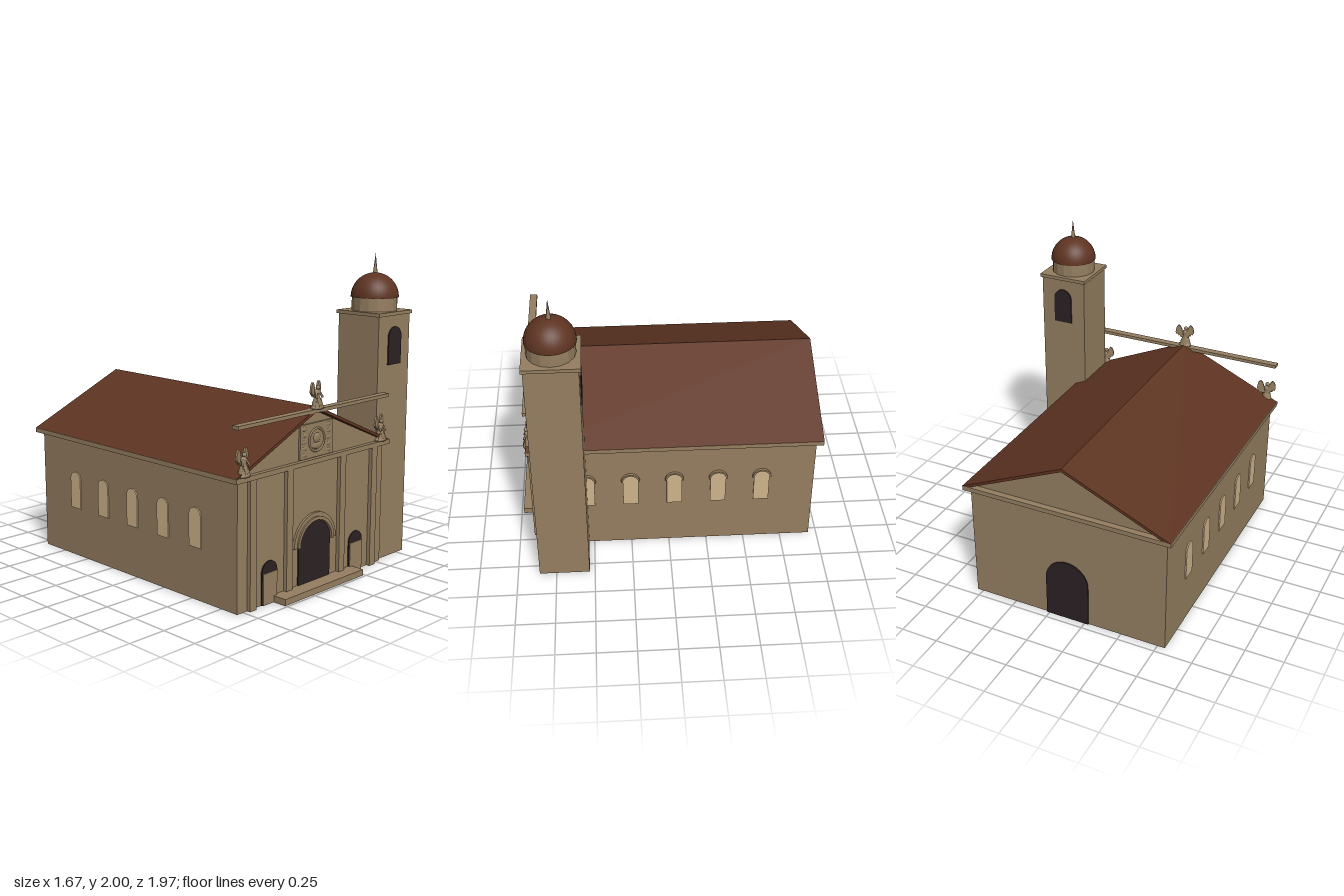
import * as THREE from 'three';

const mat = (name, color) => {
  const m = new THREE.MeshStandardMaterial({ color });
  m.name = name;
  return m;
};

export function createModel() {
  const stone = mat('stone', 0x957f61);
  const tile = mat('roofTile', 0x5e3422);
  const dark = mat('darkOpening', 0x2b2123);
  const glass = mat('paleGlass', 0xd0b48c);
  const model = new THREE.Group();
  const CX = -0.13; // axis of the nave

  const add = (name, geo, material, x = 0, y = 0, z = 0, parent = model) => {
    const m = new THREE.Mesh(geo, material);
    m.name = name;
    m.position.set(x, y, z);
    parent.add(m);
    return m;
  };
  // box given by its limits
  const block = (name, x0, x1, y0, y1, z0, z1, material = stone) =>
    add(name, new THREE.BoxGeometry(x1 - x0, y1 - y0, z1 - z0), material,
      (x0 + x1) / 2, (y0 + y1) / 2, (z0 + z1) / 2);
  const extrude = (shape, depth) =>
    new THREE.ExtrudeGeometry(shape, { depth, bevelEnabled: false, curveSegments: 14 });
  const polygon = (pts) => new THREE.Shape(pts.map(([x, y]) => new THREE.Vector2(x, y)));

  // round-headed panel standing on y = 0
  const archPanel = (r, height, depth = 0.008) => {
    const s = new THREE.Shape();
    s.moveTo(-r, 0);
    s.lineTo(r, 0);
    s.lineTo(r, height - r);
    s.absarc(0, height - r, r, 0, Math.PI, false);
    s.closePath();
    return extrude(s, depth);
  };
  // half ring moulding
  const archRing = (inner, outer, depth) => {
    const s = new THREE.Shape();
    s.absarc(0, 0, outer, 0, Math.PI, false);
    s.absarc(0, 0, inner, Math.PI, 0, true);
    s.closePath();
    return extrude(s, depth);
  };

  // nave walls, cornice, gable and roof
  block('naveWalls', -0.80, 0.54, 0, 0.79, -0.947, 0.88);
  block('cornice', -0.838, 0.575, 0.79, 0.82, -0.987, 0.91);
  add('gable', extrude(polygon([[-0.66, 0], [0.66, 0], [0, 0.288]]), 1.827), stone, CX, 0.82, -0.947);
  add('roof', extrude(polygon([
    [-0.705, 0], [-0.66, 0], [0, 0.294], [0.66, 0], [0.705, 0], [0, 0.315],
  ]), 1.893), tile, CX, 0.82, -0.988);
  block('ridgeBeam', -0.82, 0.56, 1.10, 1.122, 0.857, 0.907);

  // front pilasters
  for (const side of [-1, 1]) {
    for (const d of [0.245, 0.56]) {
      const x = CX + side * d;
      block('pilaster', x - 0.027, x + 0.027, 0, 0.79, 0.87, 0.905);
    }
  }

  // main doors front and back, with stepped arch over the front one
  block('entranceStep', -0.50, 0.235, 0, 0.04, 0.87, 0.985);
  add('frontDoor', archPanel(0.147, 0.425), dark, CX, 0, 0.88);
  add('doorArchInner', archRing(0.147, 0.168, 0.025), stone, CX, 0.282, 0.88);
  add('doorArchOuter', archRing(0.168, 0.194, 0.015), stone, CX, 0.282, 0.88);
  add('backDoor', archPanel(0.147, 0.43), dark, CX, 0, -0.947).rotation.y = Math.PI;

  // side doors: dark arch with a stone leaf below
  for (const side of [-1, 1]) {
    const x = CX + side * 0.403;
    add('sideDoorArch', archPanel(0.066, 0.265), dark, x, 0, 0.88);
    block('sideDoorLeaf', x - 0.060, x + 0.060, 0, 0.195, 0.88, 0.894);
  }

  // nave windows
  for (let i = 0; i < 5; i++) {
    const z = 0.535 - i * 0.285;
    add('rightWindow', archPanel(0.05, 0.245), glass, 0.54, 0.33, z).rotation.y = Math.PI / 2;
    add('windowHood', archRing(0.05, 0.061, 0.018), stone, 0.54, 0.525, z).rotation.y = Math.PI / 2;
    add('leftWindow', archPanel(0.05, 0.245), glass, -0.80, 0.33, z).rotation.y = -Math.PI / 2;
  }

  // carved panel in the gable
  const relief = new THREE.Group();
  relief.name = 'carvedPanel';
  relief.position.set(CX, 0.932, 0.885);
  model.add(relief);
  add('panelSlab', new THREE.BoxGeometry(0.30, 0.212, 0.016), stone, 0, 0, 0, relief);
  add('panelRing', new THREE.TorusGeometry(0.07, 0.008, 6, 28), stone, 0, 0, 0.007, relief);
  const boss = add('panelBoss', new THREE.SphereGeometry(0.032, 16, 10), stone, 0, 0.012, 0.006, relief);
  boss.scale.z = 0.35;
  const bust = add('panelBust', new THREE.SphereGeometry(0.042, 16, 10), stone, 0, -0.035, 0.006, relief);
  bust.scale.set(1, 0.5, 0.2);
  for (const sx of [-1, 1]) {
    for (let j = -2; j <= 2; j++) {
      const knob = add('panelCarving', new THREE.SphereGeometry(0.022, 10, 6), stone,
        sx * 0.112, j * 0.04, 0.006, relief);
      knob.scale.set(1.2, 0.6, 0.25);
    }
  }

  // winged statues
  const robe = new THREE.LatheGeometry([
    [0, 0], [0.045, 0], [0.045, 0.012], [0.034, 0.016], [0.036, 0.03], [0.024, 0.06],
    [0.017, 0.078], [0.024, 0.098], [0.02, 0.112], [0.008, 0.118], [0, 0.119],
  ].map(([x, y]) => new THREE.Vector2(x, y)), 14);
  const wingShape = new THREE.Shape();
  wingShape.moveTo(0.006, 0.075);
  wingShape.quadraticCurveTo(0.018, 0.15, 0.038, 0.163);
  wingShape.quadraticCurveTo(0.062, 0.155, 0.063, 0.105);
  wingShape.lineTo(0.053, 0.088);
  wingShape.lineTo(0.048, 0.098);
  wingShape.lineTo(0.041, 0.078);
  wingShape.lineTo(0.035, 0.09);
  wingShape.lineTo(0.026, 0.07);
  wingShape.closePath();
  const wing = extrude(wingShape, 0.012);
  const statue = (x, y) => {
    const g = new THREE.Group();
    g.name = 'wingedStatue';
    g.position.set(x, y, 0.89);
    model.add(g);
    add('robe', robe, stone, 0, 0, 0, g).scale.z = 0.75;
    add('head', new THREE.SphereGeometry(0.014, 12, 8), stone, 0, 0.129, 0.006, g);
    for (const s of [0, 1]) {
      const w = add('wing', wing, stone, 0, 0, s ? -0.008 : -0.02, g);
      w.rotation.y = s ? Math.PI + 0.25 : -0.25 + 0.5;
      const arm = add('arm', new THREE.CapsuleGeometry(0.007, 0.032, 4, 8), stone,
        s ? -0.02 : 0.02, 0.085, 0.014, g);
      arm.rotation.set(-0.4, 0, s ? -0.35 : 0.35);
      add('fold', new THREE.ConeGeometry(0.016, 0.06, 8), stone, s ? -0.018 : 0.018, 0.04, 0.016, g);
    }
  };
  statue(CX - 0.63, 0.82);
  statue(CX + 0.63, 0.82);
  statue(CX, 1.122);

  // bell tower
  const TX = 0.658, TZ = 0.697;
  block('towerShaft', 0.496, 0.82, 0, 1.612, 0.535, 0.86);
  block('towerCap', 0.486, 0.832, 1.612, 1.635, 0.523, 0.871);
  add('towerWindow', archPanel(0.066, 0.245), dark, 0.661, 1.295, 0.86);
  add('towerWindow', archPanel(0.066, 0.245), dark, 0.661, 1.295, 0.535).rotation.y = Math.PI;
  const drum = new THREE.CylinderGeometry(0.148, 0.148, 0.085, 16).toNonIndexed();
  drum.computeVertexNormals();
  add('drum', drum, stone, TX, 1.6775, TZ);
  add('dome', new THREE.SphereGeometry(0.155, 32, 16, 0, Math.PI * 2, 0, Math.PI / 2), tile, TX, 1.72, TZ);
  add('domeBase', new THREE.CircleGeometry(0.155, 32), tile, TX, 1.72, TZ).rotation.x = Math.PI / 2;
  add('spire', new THREE.ConeGeometry(0.016, 0.135, 8), stone, TX, 1.9325, TZ);

  return model;
}
